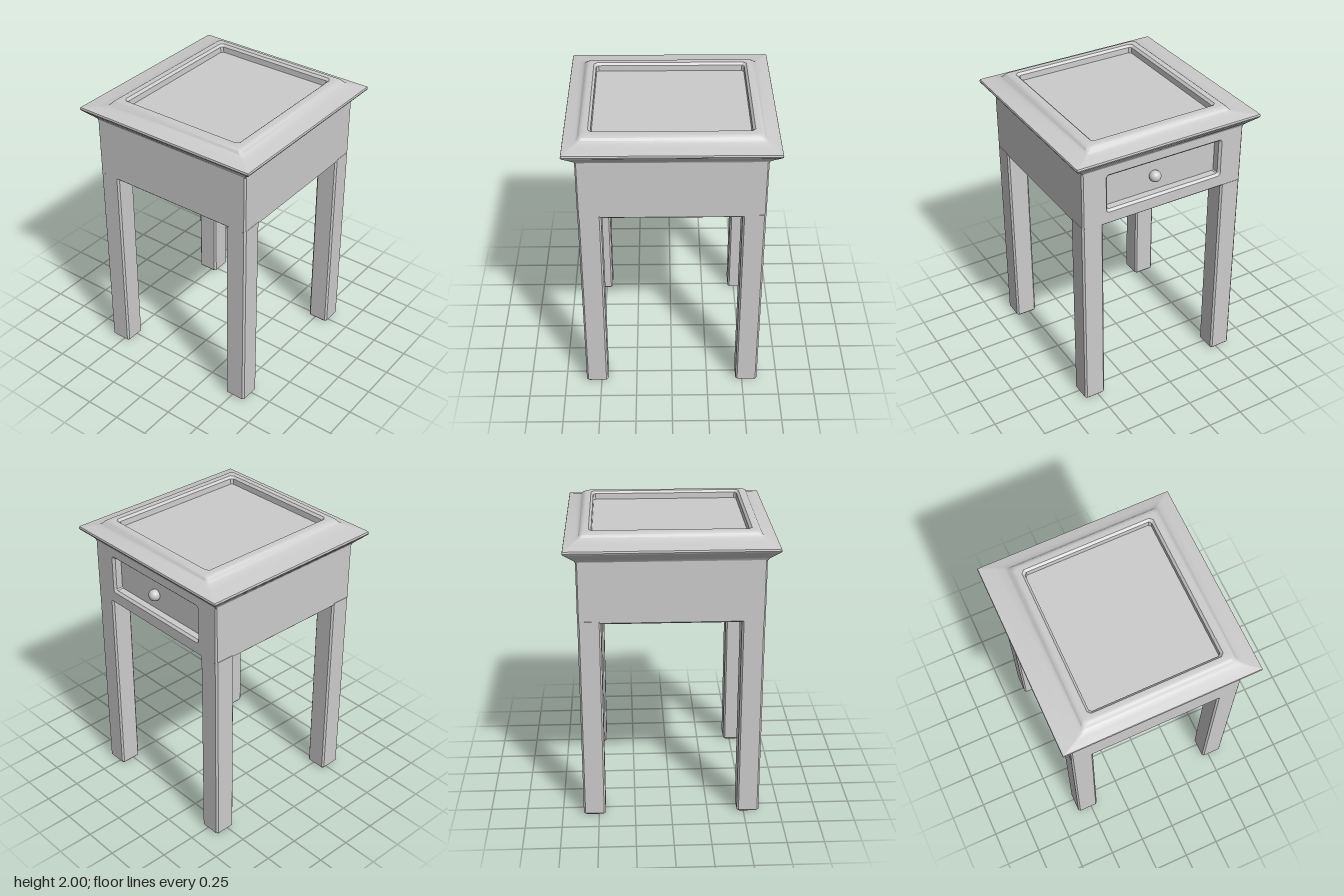
import * as THREE from 'three';
import { toCreasedNormals } from 'three/addons/utils/BufferGeometryUtils.js';

// Closed solid through chamfered rectangles stacked along y.
// Each ring: [y, x0, x1, z0, z1, corner chamfer]
function loft(rings) {
  const pos = [], idx = [];
  for (const [y, x0, x1, z0, z1, c] of rings) {
    const ring = [
      [x1, z1 - c], [x1, z0 + c], [x1 - c, z0], [x0 + c, z0],
      [x0, z0 + c], [x0, z1 - c], [x0 + c, z1], [x1 - c, z1],
    ];
    for (const [x, z] of ring) pos.push(x, y, z);
  }
  for (let r = 0; r < rings.length - 1; r++) {
    for (let i = 0; i < 8; i++) {
      const a = r * 8 + i, b = r * 8 + (i + 1) % 8;
      idx.push(a, b, b + 8, a, b + 8, a + 8);
    }
  }
  const top = (rings.length - 1) * 8;
  for (let i = 1; i < 7; i++) {
    idx.push(0, i + 1, i);
    idx.push(top, top + i, top + i + 1);
  }
  const geo = new THREE.BufferGeometry();
  geo.setAttribute('position', new THREE.Float32BufferAttribute(pos, 3));
  geo.setIndex(idx);
  return toCreasedNormals(geo, 0.5);
}

export function createModel() {
  const group = new THREE.Group();
  const material = new THREE.MeshStandardMaterial({ color: 0xcccccc });
  const add = (name, geo) => {
    const mesh = new THREE.Mesh(geo, material);
    mesh.name = name;
    group.add(mesh);
    return mesh;
  };

  // Table top: cove below, sloping edge, raised rim and sunken panel
  const sq = (y, hx, hz, c = 0.003, dz = 0) => [y, -hx, hx, dz - hz, dz + hz, c];
  add('tableTop', loft([
    sq(1.835, 0.605, 0.597),
    sq(1.85, 0.612, 0.603),
    sq(1.87, 0.632, 0.622),
    sq(1.915, 0.681, 0.671),
    sq(1.925, 0.685, 0.675),
    sq(1.937, 0.682, 0.672),
    sq(1.952, 0.635, 0.59, 0.006, 0.016),
    sq(1.963, 0.6, 0.54, 0.01, 0.025),
    sq(1.973, 0.588, 0.527, 0.015, 0.025),
    sq(1.988, 0.577, 0.515, 0.018, 0.025),
    sq(1.997, 0.565, 0.503, 0.02, 0.025),
    sq(2.0, 0.552, 0.49, 0.02, 0.025),
    sq(2.0, 0.523, 0.458, 0.02, 0.024),
    sq(1.985, 0.507, 0.442, 0.015, 0.024),
    sq(1.945, 0.505, 0.44, 0.015, 0.024),
  ]));

  // Body, lofted along x so the drawer recess opens on the +x side
  const slab = (x, y0, y1, z0, z1, c = 0.01) => [x, -y1, -y0, z0, z1, c];
  add('body', loft([
    slab(-0.607, 1.43, 1.86, -0.59, 0.59),
    slab(-0.597, 1.42, 1.86, -0.6, 0.6),
    slab(0.597, 1.42, 1.86, -0.6, 0.6),
    slab(0.607, 1.43, 1.86, -0.59, 0.59),
    slab(0.607, 1.507, 1.783, -0.437, 0.43, 0.015),
    slab(0.592, 1.523, 1.768, -0.422, 0.415, 0.008),
    slab(0.547, 1.525, 1.766, -0.42, 0.413, 0.008),
  ]).rotateZ(-Math.PI / 2));

  // Drawer knob, sitting inside the recess
  const knob = add('drawerKnob', new THREE.SphereGeometry(0.04, 24, 16));
  knob.position.set(0.564, 1.635, 0.045);

  // Four legs with chamfered edges and feet
  const half = 0.076, offset = 0.53;
  const legGeo = loft([
    sq(0, half - 0.012, half - 0.012, 0.008),
    sq(0.014, half, half, 0.012),
    sq(1.44, half, half, 0.012),
  ]);
  for (const [end, sz] of [['front', 1], ['back', -1]]) {
    for (const [side, sx] of [['Left', 1], ['Right', -1]]) {
      add(end + side + 'Leg', legGeo).position.set(sx * offset, 0, sz * (offset - 0.004));
    }
  }
  return group;
}
